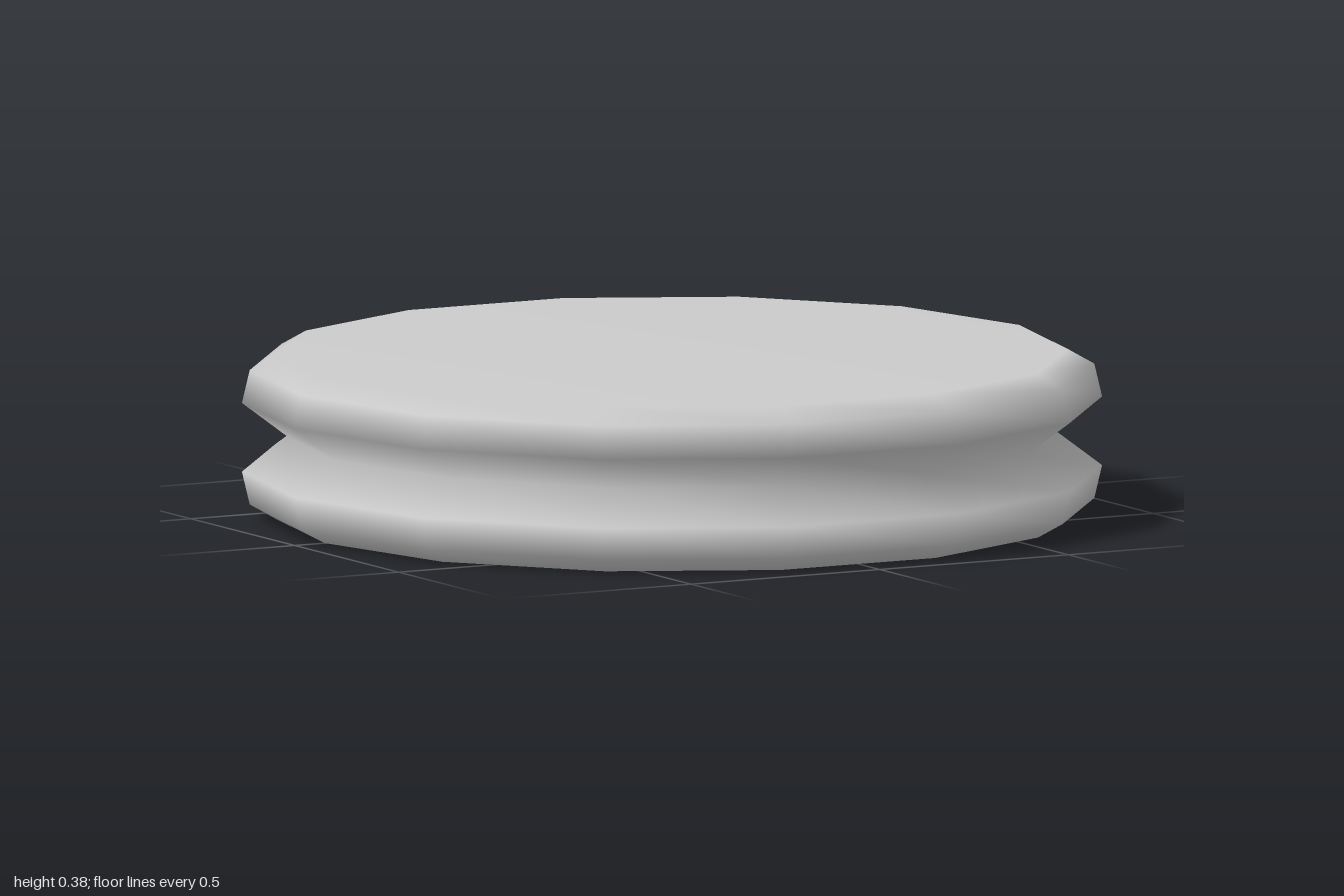
import * as THREE from 'three';

export function createModel() {
  const group = new THREE.Group();
  group.name = 'groovedDisc';

  // Lower half of the rim, from the axis out to the groove
  const height = 0.385;
  const lower = [[0, 0], [0.92, 0], [0.982, 0.035], [1, 0.112]];
  const groove = [0.893, height / 2];
  // Upper half mirrors the lower one
  const upper = lower.map(([r, y]) => [r, height - y]).reverse();
  const profile = [...lower, groove, ...upper].map(([r, y]) => new THREE.Vector2(r, y));

  // Fourteen-sided disc with corners on the x axis, smoothly shaded
  const disc = new THREE.Mesh(
    new THREE.LatheGeometry(profile, 14, Math.PI / 2),
    new THREE.MeshStandardMaterial({ color: 0xcccccc })
  );
  disc.name = 'disc';
  group.add(disc);
  return group;
}
